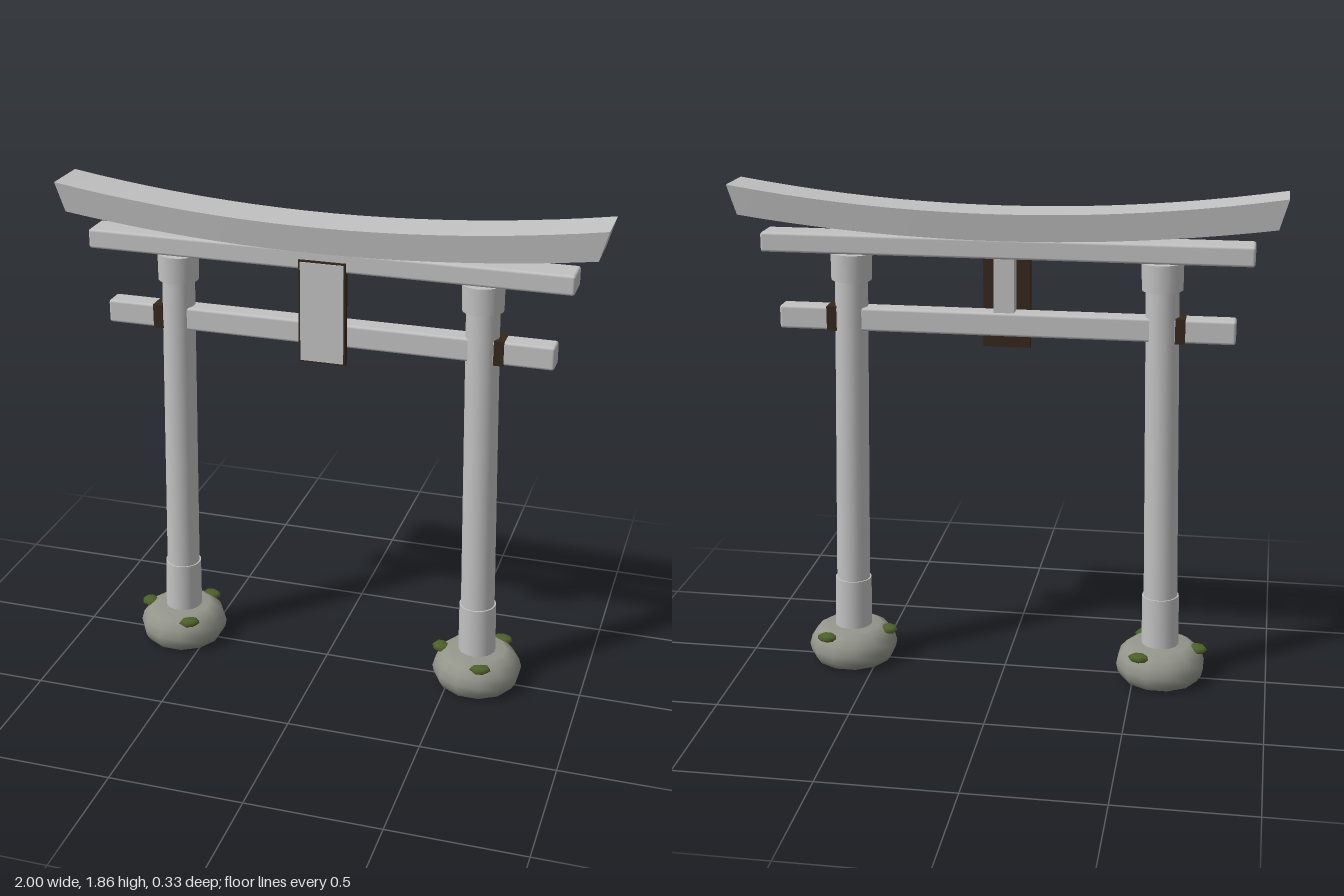
import * as THREE from 'three';
import { RoundedBoxGeometry } from 'three/addons/geometries/RoundedBoxGeometry.js';

const material = (name, color) => {
  const m = new THREE.MeshStandardMaterial({ color });
  m.name = name;
  return m;
};

export function createModel() {
  const paleStone = material('pale stone', 0xc2c2c2);
  const footStone = material('foot stone', 0x94958b);
  const darkWood = material('dark wood', 0x35281c);
  const moss = material('moss', 0x4d6128);

  const model = new THREE.Group();
  model.name = 'gate';

  const add = (parent, name, geometry, mat, x = 0, y = 0, z = 0) => {
    const mesh = new THREE.Mesh(geometry, mat);
    mesh.name = name;
    mesh.position.set(x, y, z);
    parent.add(mesh);
    return mesh;
  };
  const box = (w, h, d) => new THREE.BoxGeometry(w, h, d);

  // Top lintel: a box swept up towards its ends, narrower underneath
  const lintel = new THREE.BoxGeometry(2, 1, 1, 20, 1, 1);
  const p = lintel.attributes.position;
  for (let i = 0; i < p.count; i++) {
    const x = p.getX(i), top = p.getY(i) > 0;
    p.setXYZ(i, x * (top ? 1 : 0.968),
      top ? 1.78 + 0.08 * x * x : 1.682 + 0.068 * x * x,
      Math.sign(p.getZ(i)) * (top ? 0.09 : 0.078));
  }
  lintel.computeVertexNormals();
  add(model, 'topLintel', lintel, paleStone);

  // Straight beams
  add(model, 'upperBeam', new RoundedBoxGeometry(1.785, 0.073, 0.12, 2, 0.01), paleStone, 0, 1.648);
  add(model, 'tieBeam', new RoundedBoxGeometry(1.67, 0.087, 0.08, 2, 0.01), paleStone, 0, 1.367);

  // Central strut and the tablet hung in front of it
  add(model, 'centreStrut', box(0.075, 0.22, 0.065), paleStone, 0, 1.51);
  add(model, 'tabletFrame', box(0.174, 0.385, 0.024), darkWood, 0, 1.457, 0.054);
  add(model, 'tabletFace', box(0.16, 0.371, 0.006), paleStone, 0, 1.457, 0.067);

  // Rounded foot stone profile, from underside to top
  const footProfile = [[0, 0], [0.148, 0.004], [0.164, 0.03], [0.17, 0.06],
    [0.16, 0.095], [0.137, 0.122], [0.108, 0.14], [0, 0.143]]
    .map(([r, y]) => new THREE.Vector2(r, y));
  const footGeometry = new THREE.LatheGeometry(footProfile, 12, Math.PI / 12);
  const mossGeometry = new THREE.SphereGeometry(1, 7, 4);

  for (const side of [-1, 1]) {
    const name = side > 0 ? 'left' : 'right';

    // Pillar leaning inwards, with base sleeve and collar
    const pillar = new THREE.Group();
    pillar.name = name + 'Pillar';
    pillar.position.set(side * 0.598, 0.12, 0);
    pillar.rotation.z = side * 0.021;
    model.add(pillar);
    add(pillar, 'shaft', new THREE.CylinderGeometry(0.06, 0.064, 1.48, 24), paleStone, 0, 0.745);
    add(pillar, 'baseSleeve', new THREE.CylinderGeometry(0.069, 0.071, 0.215, 24), paleStone, 0, 0.108);
    add(pillar, 'collar', new THREE.CylinderGeometry(0.076, 0.074, 0.1, 24), paleStone, 0, 1.44);

    // Wedge locking the tie beam outside the pillar
    add(model, name + 'Wedge', box(0.036, 0.091, 0.09), darkWood, side * 0.638, 1.368);

    // Foot stone with three moss patches
    const foot = new THREE.Group();
    foot.name = name + 'Foot';
    foot.position.x = side * 0.6;
    model.add(foot);
    add(foot, 'footStone', footGeometry, footStone);
    const patches = side > 0
      ? [[0.036, 0.12], [0.074, -0.118], [-0.142, 0]]
      : [[0.068, 0.116], [0.074, -0.118], [-0.142, 0]];
    patches.forEach(([x, z], i) => {
      const patch = add(foot, 'mossPatch', mossGeometry, moss, x, 0.122, z);
      patch.scale.set(0.042, 0.015, 0.034);
      patch.rotation.y = Math.atan2(x, z) + i * 0.3;
    });
  }
  return model;
}
